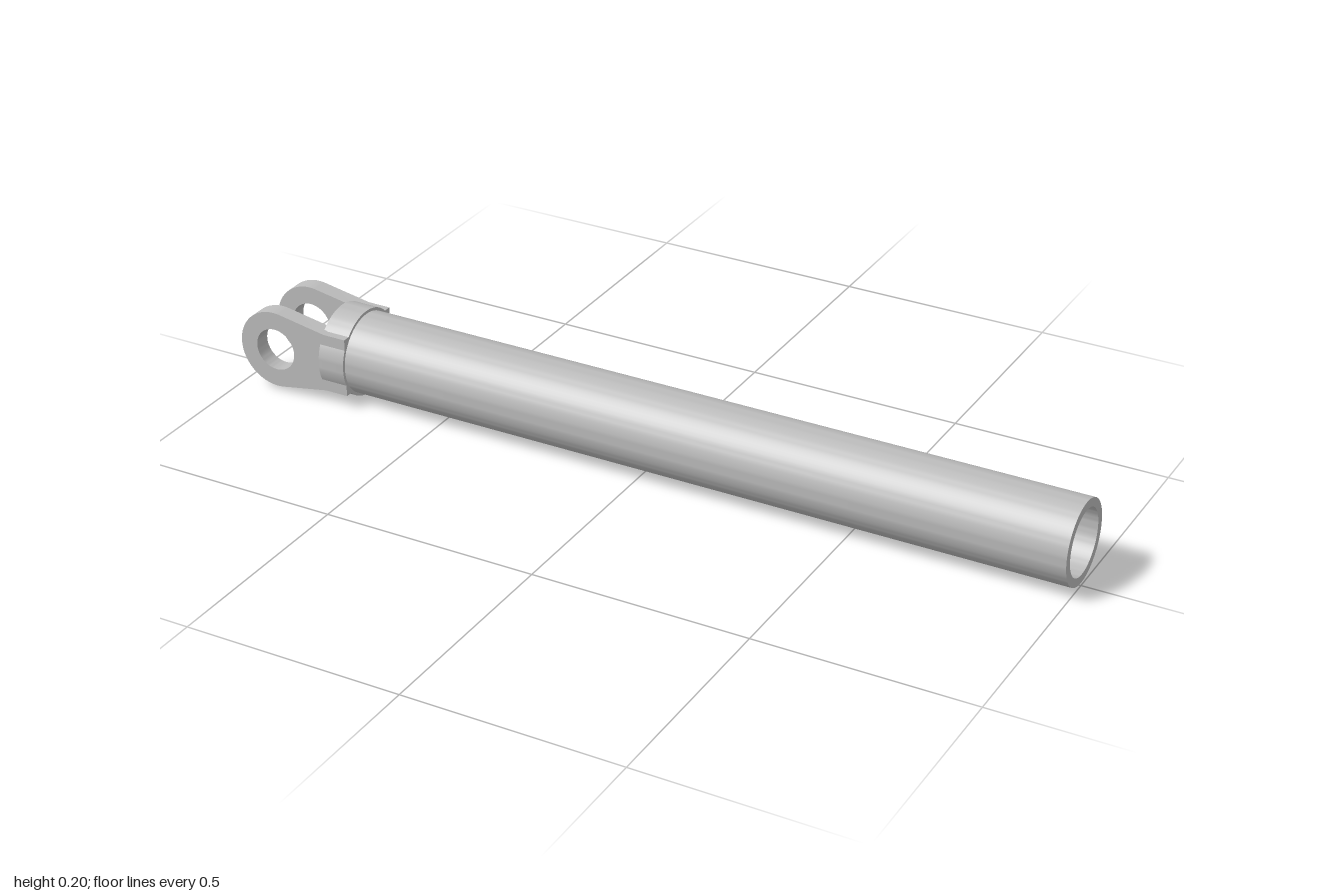
import * as THREE from 'three';
import { toCreasedNormals } from 'three/addons/utils/BufferGeometryUtils.js';

const AXIS_Y = 0.102;
const steel = new THREE.MeshStandardMaterial({ name: 'steel grey', color: 0xbcbcbc });

// Turned part along x, from [x, radius] pairs
function turned(name, profile) {
  const points = profile.map(([x, r]) => new THREE.Vector2(r, x));
  const geometry = toCreasedNormals(new THREE.LatheGeometry(points, 72), 0.5);
  geometry.rotateZ(-Math.PI / 2);
  const mesh = new THREE.Mesh(geometry, steel);
  mesh.name = name;
  mesh.position.y = AXIS_Y;
  return mesh;
}

// Tapered lug plate with a round eye and a pin hole
function lugGeometry() {
  const eyeX = -0.908, eyeR = 0.092, holeR = 0.05;
  const neckX = -0.775, endX = -0.72, half = 0.07;
  const dx = neckX - eyeX;
  const tangent = Math.atan2(half, dx) + Math.acos(eyeR / Math.hypot(dx, half));
  const shape = new THREE.Shape();
  shape.moveTo(endX, -half);
  shape.lineTo(endX, half);
  shape.lineTo(neckX, half);
  shape.absarc(eyeX, 0, eyeR, tangent, Math.PI * 2 - tangent, false);
  shape.lineTo(neckX, -half);
  shape.closePath();
  const hole = new THREE.Path();
  hole.absarc(eyeX, 0, holeR, 0, Math.PI * 2, true);
  shape.holes.push(hole);
  const geometry = new THREE.ExtrudeGeometry(shape, { depth: 0.039, bevelEnabled: false, curveSegments: 32 });
  return toCreasedNormals(geometry, 0.3);
}

export function createModel() {
  const model = new THREE.Group();
  model.name = 'clevisTube';

  // Hollow tube, open at the +x end
  model.add(turned('tube', [
    [-0.73, 0.095], [1, 0.095], [1, 0.075], [-0.715, 0.075], [-0.715, 0],
  ]));

  // Solid collar closing the other end
  model.add(turned('collar', [
    [-0.785, 0], [-0.785, 0.102], [-0.72, 0.102], [-0.72, 0.09],
  ]));

  // Pair of clevis lugs
  const lug = lugGeometry();
  for (const [name, z] of [['frontLug', 0.053], ['backLug', -0.092]]) {
    const mesh = new THREE.Mesh(lug, steel);
    mesh.name = name;
    mesh.position.set(0, AXIS_Y, z);
    model.add(mesh);
  }
  return model;
}
